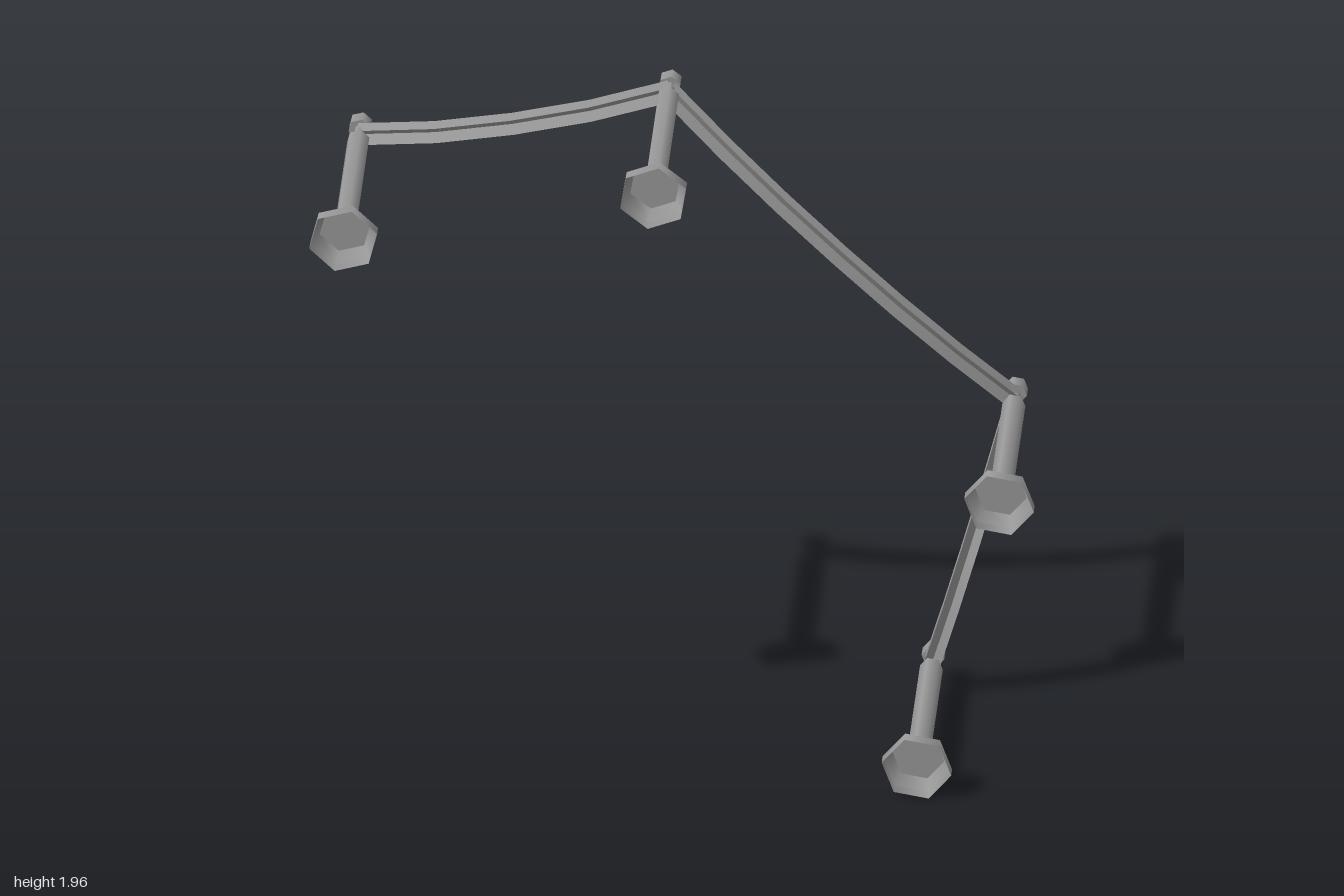
import * as THREE from 'three';

const grey = new THREE.MeshStandardMaterial({ color: 0x999999, side: THREE.DoubleSide });
grey.name = 'grey metal';

// Post positions (x, y) and hexagon turn in degrees; posts point along -z
const POSTS = [
  [-0.907, 1.70, 16],
  [-0.051, 1.87, 21],
  [0.904, 0.938, -10],
  [0.676, 0.095, -10],
];

function addSection(group, name, zFront, zBack, rFront, rBack, open = false) {
  const geo = new THREE.CylinderGeometry(rBack, rFront, zFront - zBack, 6, 1, open);
  geo.rotateX(-Math.PI / 2);
  geo.translate(0, 0, (zFront + zBack) / 2);
  const mesh = new THREE.Mesh(geo, grey);
  mesh.name = name;
  group.add(mesh);
}

function makePost([x, y, turn]) {
  const post = new THREE.Group();
  post.name = 'post';
  // Hollow base: rim, taper and closing plate
  addSection(post, 'baseRim', 0.335, 0.3, 0.0975, 0.0975, true);
  addSection(post, 'baseTaper', 0.3, 0.263, 0.0975, 0.073, true);
  const plate = new THREE.Mesh(new THREE.CircleGeometry(0.073, 6, Math.PI / 2), grey);
  plate.name = 'basePlate';
  plate.position.z = 0.263;
  post.add(plate);
  // Shaft, neck and end knob
  addSection(post, 'shaft', 0.262, -0.235, 0.032, 0.032);
  addSection(post, 'shoulder', -0.235, -0.255, 0.032, 0.015, true);
  addSection(post, 'neck', -0.255, -0.295, 0.015, 0.015, true);
  addSection(post, 'knob', -0.294, -0.335, 0.032, 0.032);
  post.position.set(x, y, 0);
  post.rotation.z = THREE.MathUtils.degToRad(turn - 30);
  return post;
}

// Rope: two crossed strips sagging towards +z
function makeRope(a, b, segments) {
  const rope = new THREE.Group();
  rope.name = 'rope';
  const dx = b[0] - a[0], dy = b[1] - a[1], len = Math.hypot(dx, dy);
  const h = 0.0225;
  for (const s of [1, -1]) {
    const pos = [], index = [];
    for (let i = 0; i <= segments; i++) {
      const t = i / segments;
      const z = -0.267 + 0.062 * (1 - Math.pow(Math.abs(2 * t - 1), 2.2));
      for (const e of [1, -1]) {
        pos.push(a[0] + dx * t - (dy / len) * h * e, a[1] + dy * t + (dx / len) * h * e, z + s * e * h);
      }
      if (i < segments) {
        const k = 2 * i;
        index.push(k, k + 1, k + 2, k + 1, k + 3, k + 2);
      }
    }
    const geo = new THREE.BufferGeometry();
    geo.setAttribute('position', new THREE.Float32BufferAttribute(pos, 3));
    geo.setIndex(index);
    geo.computeVertexNormals();
    const strip = new THREE.Mesh(geo, grey);
    strip.name = 'ropeStrip';
    rope.add(strip);
  }
  return rope;
}

export function createModel() {
  const model = new THREE.Group();
  model.name = 'ropeBarrier';
  POSTS.forEach((p) => model.add(makePost(p)));
  [4, 6, 4].forEach((n, i) => model.add(makeRope(POSTS[i], POSTS[i + 1], n)));
  return model;
}
